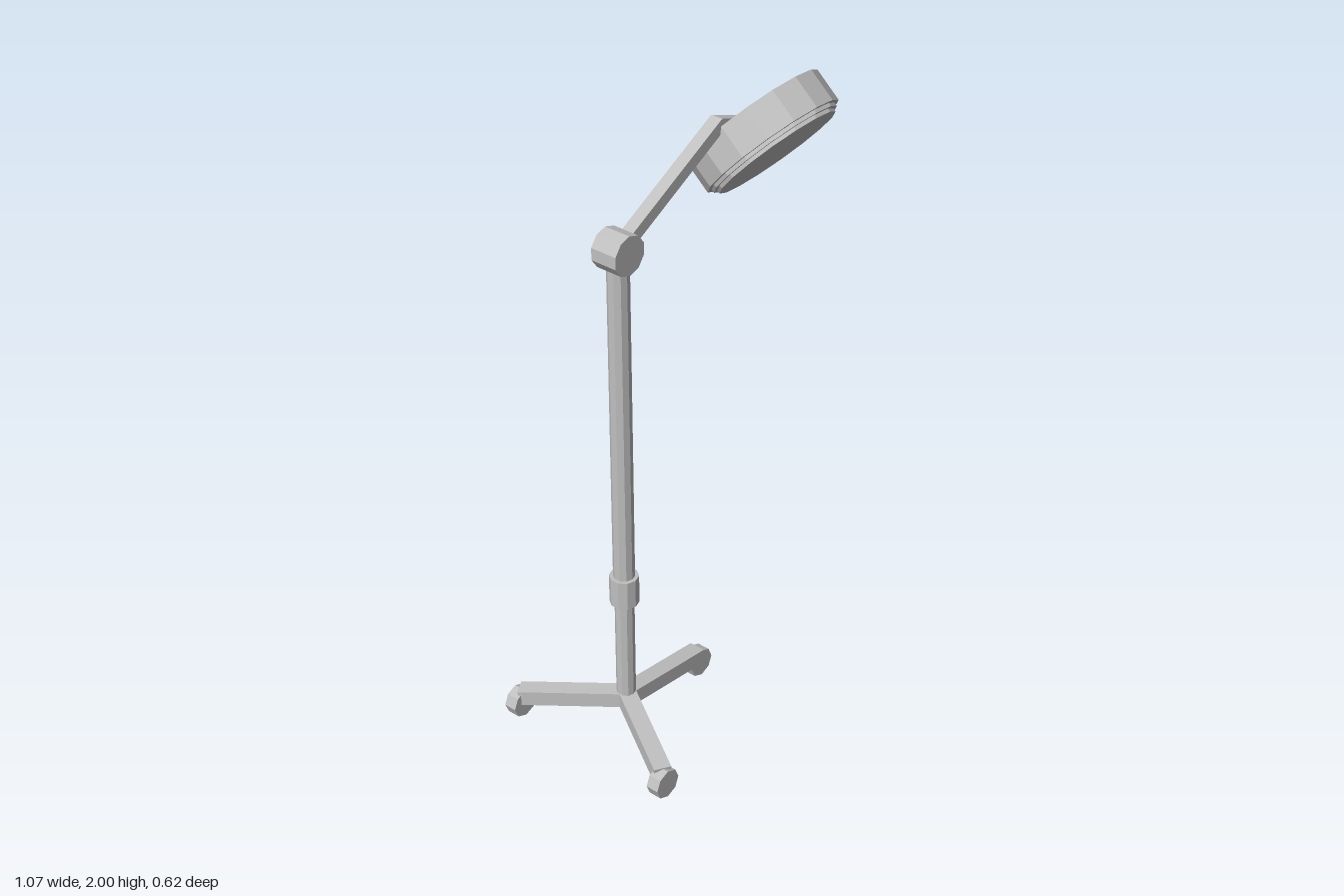
import * as THREE from 'three';

const grey = new THREE.MeshStandardMaterial({ color: 0xbfbfbf, flatShading: true });
grey.name = 'grey metal';

function add(parent, name, geometry, x = 0, y = 0, z = 0) {
  const mesh = new THREE.Mesh(geometry, grey);
  mesh.name = name;
  mesh.position.set(x, y, z);
  parent.add(mesh);
  return mesh;
}

const cylinder = (r, h, sides) => new THREE.CylinderGeometry(r, r, h, sides);

// Square bar running between two points in the xy plane
function bar(parent, name, [x0, y0], [x1, y1], thick, width) {
  const dx = x1 - x0, dy = y1 - y0;
  const box = new THREE.BoxGeometry(Math.hypot(dx, dy), thick, width);
  const mesh = add(parent, name, box, (x0 + x1) / 2, (y0 + y1) / 2, 0);
  mesh.rotation.z = Math.atan2(dy, dx);
  return mesh;
}

export function createModel() {
  const model = new THREE.Group();
  model.name = 'floorLamp';
  const px = -0.322;

  // Base: three sloping legs, each ending in a caster
  const legLength = 0.335;
  for (let i = 0; i < 3; i++) {
    const a = (i * Math.PI * 2) / 3;
    const leg = new THREE.Group();
    leg.name = 'leg';
    leg.position.x = px;
    leg.rotation.y = a;
    bar(leg, 'legBar', [0, 0.115], [legLength, 0.075], 0.05, 0.054);
    model.add(leg);

    const wheel = add(model, 'caster', cylinder(0.048, 0.042, 8),
      px + legLength * Math.cos(a), 0.048, -legLength * Math.sin(a));
    wheel.rotation.x = Math.PI / 2;
  }

  // Telescopic pole with a locking collar
  add(model, 'lowerPole', cylinder(0.03, 0.43, 10), px, 0.315, 0);
  add(model, 'upperPole', cylinder(0.033, 1.13, 10), px, 1.075, 0);
  add(model, 'collar', cylinder(0.045, 0.095, 10), px, 0.527, 0);

  // Pivot and arm
  const pivot = add(model, 'pivot', cylinder(0.061, 0.088, 10), px, 1.67, 0);
  pivot.rotation.x = Math.PI / 2;
  bar(model, 'arm', [px, 1.67], [0.105, 1.9], 0.038, 0.04);
  bar(model, 'headBracket', [0.095, 1.9], [0.29, 1.828], 0.034, 0.036);

  // Tilted head: local +y points out of the lamp face, origin on the back
  const head = new THREE.Group();
  head.name = 'lampHead';
  head.position.set(0.303, 1.83, -0.039);
  head.rotation.x = 2.301;
  add(head, 'housing', cylinder(0.228, 0.105, 16), 0, 0.0525, 0);
  add(head, 'rim', cylinder(0.214, 0.016, 16), 0, 0.108, 0);
  add(head, 'lens', cylinder(0.202, 0.027, 16), 0, 0.1135, 0);
  model.add(head);

  return model;
}
